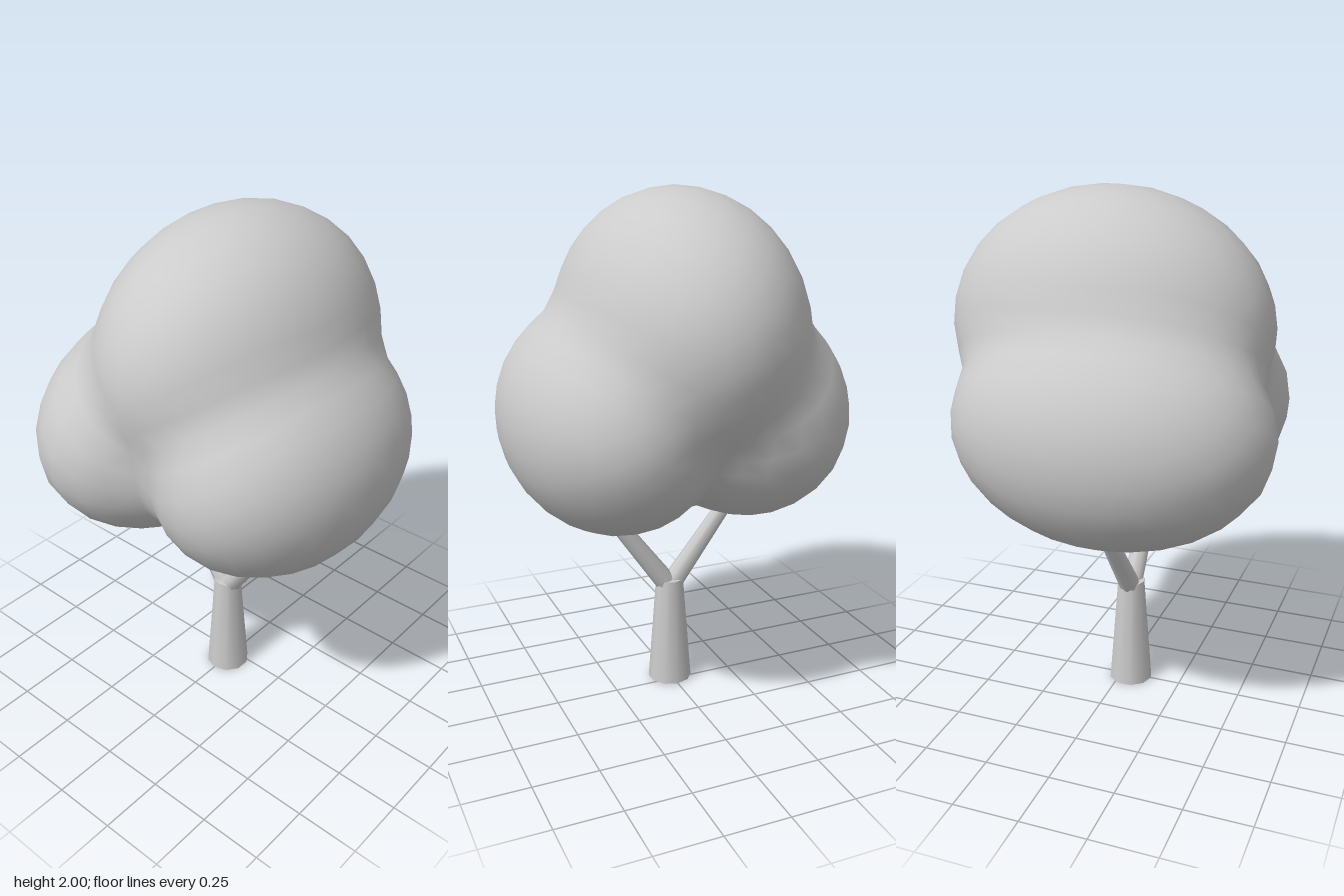
import * as THREE from 'three';
import { mergeVertices } from 'three/addons/utils/BufferGeometryUtils.js';

const material = new THREE.MeshStandardMaterial({ color: 0xcccccc });

function addMesh(group, geometry, name) {
  const mesh = new THREE.Mesh(geometry, material);
  mesh.name = name;
  group.add(mesh);
  return mesh;
}

// Tapered limb between two points
function addLimb(group, name, from, to, r0, r1, sides) {
  const a = new THREE.Vector3(...from), b = new THREE.Vector3(...to);
  const dir = b.clone().sub(a);
  const limb = addMesh(group, new THREE.CylinderGeometry(r1, r0, dir.length(), sides), name);
  limb.position.copy(a).add(b).multiplyScalar(0.5);
  limb.quaternion.setFromUnitVectors(new THREE.Vector3(0, 1, 0), dir.normalize());
}

// Distance along a ray from inside an ellipsoid to its surface
function rayToEllipsoid(origin, dir, { center, radii }) {
  const o = origin.clone().sub(center).divide(radii);
  const d = dir.clone().divide(radii);
  const a = d.dot(d), b = o.dot(d), c = o.dot(o) - 1;
  return (-b + Math.sqrt(Math.max(0, b * b - a * c))) / a;
}

// Crown: a sphere pushed out to a soft union of three overlapping lobes
function crownGeometry() {
  const V = (x, y, z) => new THREE.Vector3(x, y, z);
  const origin = V(0, 1.27, 0);
  const lobes = [
    { center: V(0, 1.48, -0.04), radii: V(0.45, 0.52, 0.62) },
    { center: V(-0.26, 1.16, 0.05), radii: V(0.41, 0.44, 0.61) },
    { center: V(0.26, 1.16, 0.02), radii: V(0.41, 0.44, 0.57) },
  ];
  const softness = 18;
  let geometry = new THREE.IcosahedronGeometry(1, 7);
  geometry.deleteAttribute('uv');
  geometry.deleteAttribute('normal');
  geometry = mergeVertices(geometry, 1e-4);
  const pos = geometry.attributes.position;
  const dir = V(0, 0, 0);
  for (let i = 0; i < pos.count; i++) {
    dir.fromBufferAttribute(pos, i).normalize();
    let sum = 0;
    for (const lobe of lobes) sum += rayToEllipsoid(origin, dir, lobe) ** softness;
    const p = dir.clone().multiplyScalar(sum ** (1 / softness)).add(origin);
    pos.setXYZ(i, p.x, p.y, p.z);
  }
  geometry.computeVertexNormals();
  return geometry;
}

export function createModel() {
  const tree = new THREE.Group();
  tree.name = 'tree';

  addLimb(tree, 'trunk', [0, 0, 0.04], [0, 0.44, 0.04], 0.088, 0.055, 10);
  addLimb(tree, 'leftBranch', [0.02, 0.43, 0.04], [0.31, 0.83, 0.05], 0.042, 0.028, 8);
  addLimb(tree, 'rightBranch', [-0.02, 0.43, 0.04], [-0.31, 0.83, 0.02], 0.042, 0.028, 8);
  addMesh(tree, crownGeometry(), 'crown');

  return tree;
}
